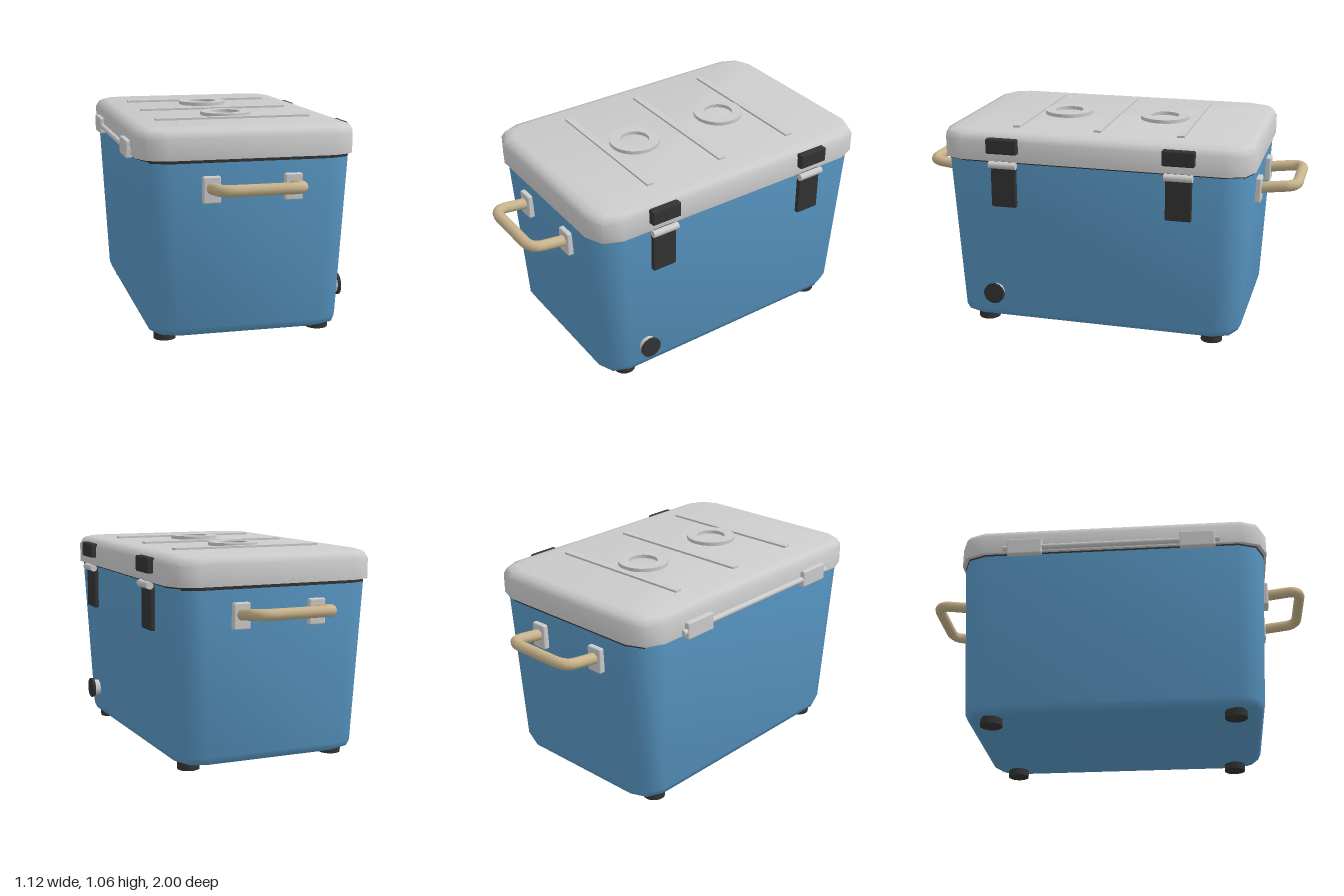
import * as THREE from 'three';
import { toCreasedNormals } from 'three/addons/utils/BufferGeometryUtils.js';
import { RoundedBoxGeometry } from 'three/addons/geometries/RoundedBoxGeometry.js';

const grey = new THREE.MeshStandardMaterial({ color: 0xcccccc });
const blue = new THREE.MeshStandardMaterial({ color: 0x5a9ac8 });
const dark = new THREE.MeshStandardMaterial({ color: 0x333333 });
const tan = new THREE.MeshStandardMaterial({ color: 0xc8b48c });

// Rounded rectangle outline: two segments per corner
function outline([y, hx, hz, r]) {
  const pts = [];
  for (let c = 0; c < 4; c++) {
    const sx = c === 0 || c === 3 ? 1 : -1, sz = c < 2 ? 1 : -1;
    for (let i = 0; i <= 2; i++) {
      const a = (c + i / 2) * Math.PI / 2;
      pts.push([sx * (hx - r) + r * Math.cos(a), y, sz * (hz - r) + r * Math.sin(a)]);
    }
  }
  return pts;
}

// Closed shell through outlines, listed from bottom to top: [y, halfX, halfZ, cornerRadius]
function loft(sections) {
  const rings = sections.map(outline), n = rings[0].length, pos = [];
  const tri = (...p) => p.forEach(v => pos.push(...v));
  for (let k = 0; k < rings.length - 1; k++) {
    for (let i = 0; i < n; i++) {
      const j = (i + 1) % n, a = rings[k], b = rings[k + 1];
      tri(a[i], b[i], b[j]);
      tri(a[i], b[j], a[j]);
    }
  }
  const lo = rings[0], hi = rings[rings.length - 1];
  for (let i = 1; i < n - 1; i++) {
    tri(lo[0], lo[i], lo[i + 1]);
    tri(hi[0], hi[i + 1], hi[i]);
  }
  const g = new THREE.BufferGeometry();
  g.setAttribute('position', new THREE.Float32BufferAttribute(pos, 3));
  return toCreasedNormals(g, 0.85);
}

export function createModel() {
  const model = new THREE.Group();
  model.name = 'cooler';
  const cx = -0.006;

  const add = (name, geo, mat, x, y, z, parent = model) => {
    const m = new THREE.Mesh(geo, mat);
    m.name = name;
    m.position.set(x, y, z);
    parent.add(m);
    return m;
  };
  const block = (w, h, d) => new RoundedBoxGeometry(w, h, d, 2, 0.008);
  const rod = (r, len, axis) => {
    const g = new THREE.CylinderGeometry(r, r, len, 20);
    return axis === 'x' ? g.rotateZ(-Math.PI / 2) : axis === 'z' ? g.rotateX(Math.PI / 2) : g;
  };

  // Tapered tub, seal and lid
  add('body', loft([
    [0.035, 0.44, 0.70, 0.10], [0.048, 0.467, 0.727, 0.115],
    [0.08, 0.48, 0.742, 0.125], [0.89, 0.52, 0.78, 0.13],
  ]), blue, cx, 0, 0);
  add('gasket', loft([[0.884, 0.519, 0.781, 0.13], [0.903, 0.519, 0.781, 0.13]]), dark, cx, 0, 0);
  add('lid', loft([
    [0.90, 0.535, 0.795, 0.13], [1.0, 0.535, 0.795, 0.13],
    [1.03, 0.518, 0.778, 0.118], [1.042, 0.48, 0.74, 0.10],
  ]), grey, cx, 0, 0);

  // Lid ribs and cup rings
  for (const z of [-0.42, 0, 0.42]) {
    add('lidRib', new THREE.BoxGeometry(0.78, 0.022, 0.037), grey, cx, 1.041, z);
  }
  const ringProfile = [[0.074, 1.03], [0.127, 1.03], [0.127, 1.06], [0.074, 1.06], [0.074, 1.03]]
    .map(p => new THREE.Vector2(...p));
  for (const z of [-0.26, 0.26]) {
    const ring = toCreasedNormals(new THREE.LatheGeometry(ringProfile, 32), 0.6);
    add('cupRing', ring, grey, cx, 0, z);
  }

  // Feet
  for (const x of [-0.39, 0.39]) {
    for (const z of [-0.6, 0.6]) add('foot', rod(0.055, 0.04), dark, x + cx, 0.02, z);
  }

  // Carry handle on each end
  const v = (x, y, z) => new THREE.Vector3(x, y, z);
  const path = new THREE.CurvePath();
  path.add(new THREE.LineCurve3(v(-0.198, 0.762, 0.77), v(-0.198, 0.78, 0.91)));
  path.add(new THREE.QuadraticBezierCurve3(v(-0.198, 0.78, 0.91), v(-0.198, 0.785, 0.972), v(-0.12, 0.785, 0.972)));
  path.add(new THREE.LineCurve3(v(-0.12, 0.785, 0.972), v(0.12, 0.785, 0.972)));
  path.add(new THREE.QuadraticBezierCurve3(v(0.12, 0.785, 0.972), v(0.198, 0.785, 0.972), v(0.198, 0.78, 0.91)));
  path.add(new THREE.LineCurve3(v(0.198, 0.78, 0.91), v(0.198, 0.762, 0.77)));
  const grip = new THREE.TubeGeometry(path, 36, 0.028, 10);
  for (const turn of [0, Math.PI]) {
    const handle = new THREE.Group();
    handle.name = 'carryHandle';
    handle.position.x = cx;
    handle.rotation.y = turn;
    add('grip', grip, tan, 0, 0, 0, handle);
    for (const x of [-0.198, 0.198]) {
      add('handleBracket', block(0.086, 0.128, 0.035), grey, x, 0.758, 0.784, handle);
    }
    model.add(handle);
  }

  // Latches on the left side, hinges on the right side
  for (const z of [-0.443, 0.443]) {
    add('latchKeeper', block(0.04, 0.077, 0.16), dark, 0.54, 0.982, z);
    add('latchPlate', block(0.026, 0.235, 0.13), dark, 0.525, 0.784, z);
    add('latchPin', rod(0.018, 0.14, 'z'), grey, 0.54, 0.885, z);
    add('hingeBlock', block(0.034, 0.087, 0.18), grey, -0.547, 0.922, z);
  }
  add('hingeRod', rod(0.014, 1.11, 'z'), grey, -0.548, 0.92, 0);

  // Drain spout and cap
  add('drainSpout', rod(0.043, 0.06, 'x'), grey, 0.485, 0.187, 0.52);
  add('drainCap', rod(0.054, 0.014, 'x'), dark, 0.518, 0.187, 0.52);

  return model;
}
